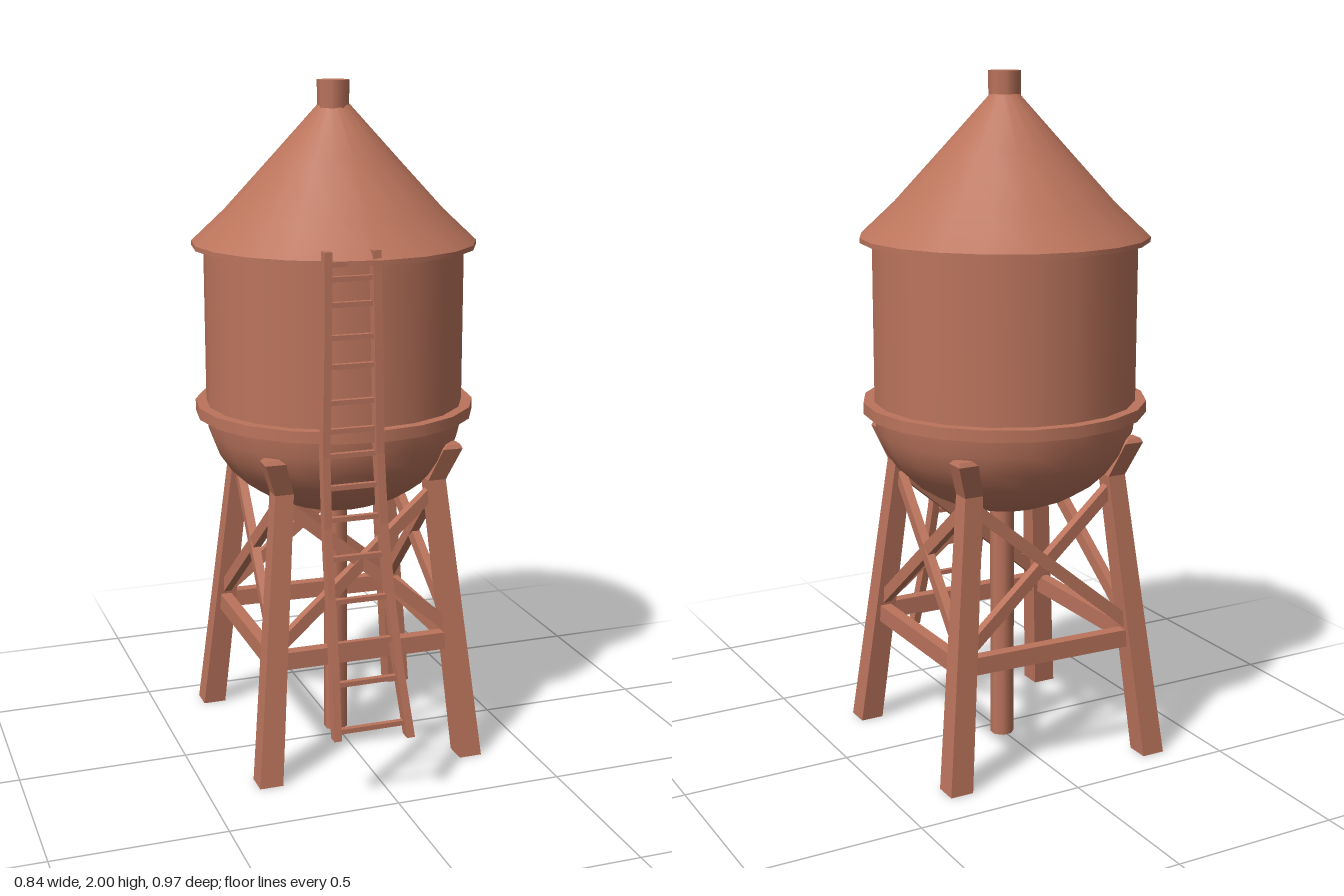
import * as THREE from 'three';

const CZ = -0.065; // tank axis in z
const SIDES = 20;

export function createModel() {
  const model = new THREE.Group();
  model.name = 'waterTower';
  const clay = new THREE.MeshStandardMaterial({ color: 0xbb745c });
  clay.name = 'terracotta';

  const add = (name, geometry, parent = model) => {
    const mesh = new THREE.Mesh(geometry, clay);
    mesh.name = name;
    parent.add(mesh);
    return mesh;
  };
  const group = (name) => {
    const g = new THREE.Group();
    g.name = name;
    model.add(g);
    return g;
  };
  // Round part around the tank axis; points run from bottom to top
  const turned = (name, points) => {
    const profile = points.map(([r, y]) => new THREE.Vector2(r, y));
    add(name, new THREE.LatheGeometry(profile, SIDES)).position.z = CZ;
  };
  // Post through level cross-sections [x, y, z, width, depth]
  const post = (name, sections, parent) => {
    const n = sections.length - 1;
    const box = new THREE.BoxGeometry(1, 1, 1, 1, n, 1);
    const p = box.attributes.position;
    for (let i = 0; i < p.count; i++) {
      const [x, y, z, w, d] = sections[Math.round((p.getY(i) + 0.5) * n)];
      p.setXYZ(i, x + p.getX(i) * w, y, z + p.getZ(i) * d);
    }
    const flat = box.toNonIndexed();
    flat.computeVertexNormals();
    add(name, flat, parent);
  };
  // Straight bar between two points
  const bar = (name, a, b, w, h, parent) => {
    const mesh = add(name, new THREE.BoxGeometry(w, h, a.distanceTo(b)), parent);
    mesh.position.copy(a).lerp(b, 0.5);
    mesh.lookAt(b);
  };
  const ring = (name, r, y, h) => {
    add(name, new THREE.CylinderGeometry(r, r, h, SIDES)).position.set(0, y, CZ);
  };

  // Tank
  const bowl = [];
  for (let i = 0; i <= 8; i++) {
    const a = (i / 8) * Math.PI / 2;
    bowl.push([0.385 * Math.sin(a), 1.03 - 0.3 * Math.cos(a)]);
  }
  turned('tankBowl', bowl);
  turned('tankWall', [[0.383, 1.03], [0.383, 1.54]]);
  ring('tankFlange', 0.415, 1.044, 0.034);
  ring('roofEave', 0.418, 1.531, 0.014);
  turned('roof', [[0.418, 1.538], [0.32, 1.63], [0.18, 1.783], [0.042, 1.935]]);
  const cap = add('roofCap', new THREE.CylinderGeometry(0.047, 0.046, 0.08, 8));
  cap.position.set(-0.005, 1.96, -0.055);
  cap.rotation.y = Math.PI / 8;

  // Central pipe
  const pipe = add('drainPipe', new THREE.CylinderGeometry(0.036, 0.036, 0.76, 8));
  pipe.position.set(0, 0.38, -0.053);
  pipe.rotation.y = Math.PI / 8;

  // Legs, with the upper ends splayed against the bowl
  const legs = group('legs');
  const corners = [[-1, 0.255, 1], [1, 0.255, 1], [1, -0.35, -1], [-1, -0.385, -1]]
    .map(([s, footZ, f]) => ({
      foot: new THREE.Vector3(s * 0.314, 0, footZ),
      knee: new THREE.Vector3(s * 0.235, 0.85, CZ + f * 0.222),
      s, f,
    }));
  corners.forEach(({ foot, knee, s, f }) => post('leg', [
    [foot.x, 0, foot.z, 0.07, 0.07],
    [knee.x, knee.y, knee.z, 0.056, 0.056],
    [s * 0.27, 0.95, CZ + f * 0.255, 0.06, 0.06],
    [s * 0.275, 0.962, CZ + f * 0.258, 0.04, 0.04],
  ], legs));

  // Level beams and crossed braces on all four sides
  const frame = group('bracing');
  const at = (c, y) => c.foot.clone().lerp(c.knee, y / 0.85);
  corners.forEach((c, i) => {
    const d = corners[(i + 1) % 4];
    bar('beam', at(c, 0.36), at(d, 0.36), 0.035, 0.052, frame);
    bar('brace', at(c, 0.82), at(d, 0.39), 0.026, 0.036, frame);
    bar('brace', at(c, 0.39), at(d, 0.82), 0.026, 0.036, frame);
  });

  // Ladder: rows are [y, left x, right x, z]
  const ladder = group('ladder');
  const rows = [
    [0.19, -0.173, 0.042, 0.468], [0.4, -0.17, 0.02, 0.428], [0.6, -0.168, 0.007, 0.39],
    [0.8, -0.168, -0.003, 0.36], [1.0, -0.168, -0.01, 0.346], [1.3, -0.16, -0.013, 0.338],
    [1.565, -0.155, -0.016, 0.328],
  ];
  post('ladderRail', rows.map(([y, a, , z], i) => [a, i ? y : 0.205, z - (i ? 0 : 0.01), 0.022, 0.032]), ladder);
  post('ladderRail', rows.map(([y, , b, z]) => [b, y, z, 0.024, 0.034]), ladder);
  const rungs = [0.23, 0.36, 0.47, 0.59, 0.71, 0.82, 0.91, 1.0, 1.07, 1.15, 1.25, 1.33, 1.42, 1.49, 1.53];
  rungs.forEach((y) => {
    const i = rows.findIndex((r) => r[0] >= y);
    const [lo, hi] = [rows[i - 1], rows[i]];
    const t = (y - lo[0]) / (hi[0] - lo[0]);
    const [, a, b, z] = lo.map((v, k) => v + (hi[k] - v) * t);
    bar('ladderRung', new THREE.Vector3(a, y, z), new THREE.Vector3(b, y, z), 0.016, 0.014, ladder);
  });

  return model;
}
